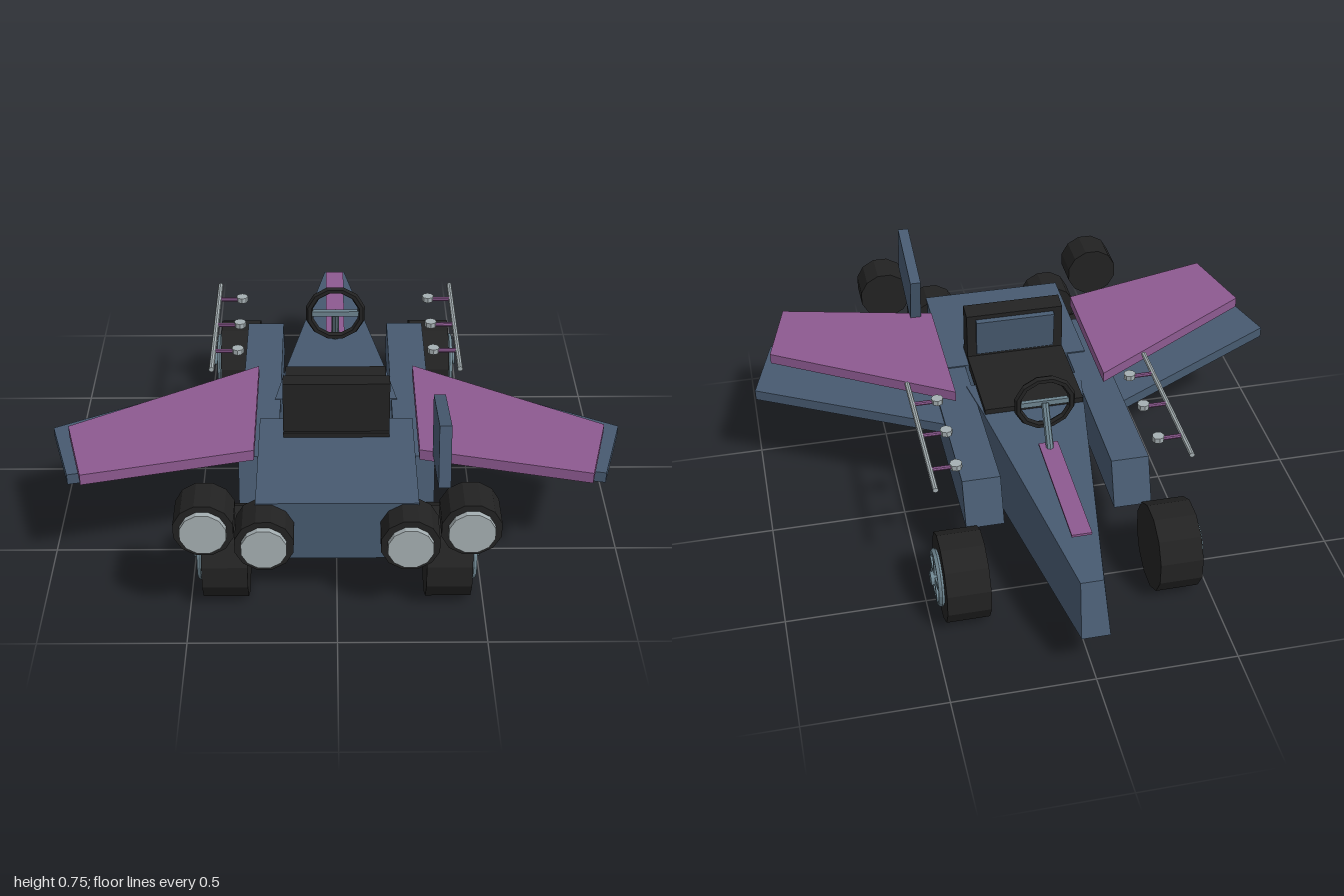
import * as THREE from 'three';
import { ConvexGeometry } from 'three/addons/geometries/ConvexGeometry.js';

const mat = (name, color) => {
  const m = new THREE.MeshStandardMaterial({ color, flatShading: true });
  m.name = name;
  return m;
};

export function createModel() {
  const blue = mat('slate blue', 0x475a70);
  const purple = mat('purple', 0x8d5a90);
  const black = mat('black', 0x222222);
  const grey = mat('light grey', 0xa5afb2);
  const steel = mat('steel', 0x6d848f);
  const model = new THREE.Group();

  const add = (name, geo, material, x = 0, y = 0, z = 0, parent = model) => {
    const mesh = new THREE.Mesh(geo, material);
    mesh.name = name;
    mesh.position.set(x, y, z);
    parent.add(mesh);
    return mesh;
  };
  const box = (name, material, x0, x1, y0, y1, z0, z1) =>
    add(name, new THREE.BoxGeometry(Math.abs(x1 - x0), y1 - y0, z1 - z0), material,
      (x0 + x1) / 2, (y0 + y1) / 2, (z0 + z1) / 2);
  const solid = (name, material, points) =>
    add(name, new ConvexGeometry(points.map(p => new THREE.Vector3(...p))), material);
  // Outline in (z, y) swept from x0 to x1
  const sideSolid = (name, material, x0, x1, outline) =>
    solid(name, material, outline.flatMap(([z, y]) => [[x0, y, z], [x1, y, z]]));
  // Outline in (x, z) swept from y0 to y1
  const slab = (name, material, y0, y1, outline) =>
    solid(name, material, outline.flatMap(([x, z]) => [[x, y0, z], [x, y1, z]]));
  // Twelve-sided cylinder with a flat on top, along z or x
  const drum = (r, len, axis) => {
    const g = new THREE.CylinderGeometry(r, r, len, 12).rotateY(Math.PI / 12);
    return axis === 'z' ? g.rotateX(Math.PI / 2) : g.rotateZ(Math.PI / 2);
  };
  // Rod between two points
  const rod = (name, material, a, b, r) => {
    const p = new THREE.Vector3(...a), q = new THREE.Vector3(...b);
    const d = q.clone().sub(p);
    const m = add(name, new THREE.CylinderGeometry(r, r, d.length(), 8), material,
      ...p.clone().add(q).multiplyScalar(0.5).toArray());
    m.quaternion.setFromUnitVectors(new THREE.Vector3(0, 1, 0), d.normalize());
  };

  // Tapered nose hull and rear body
  solid('noseHull', blue, [-1, 1].flatMap(s => [
    [s * 0.05, 0.18, -0.98], [s * 0.04, 0.365, -0.91], [s * 0.19, 0.43, -0.01],
    [s * 0.2, 0.43, 0.1], [s * 0.22, 0.43, 0.17], [s * 0.245, 0.18, 0.17]]));
  box('rearBody', blue, -0.27, 0.27, 0.205, 0.432, 0.3, 0.805);
  box('noseStripe', purple, -0.035, 0.035, 0.436, 0.445, -0.76, -0.25);

  // Seat
  box('seatBase', black, -0.185, 0.185, 0.41, 0.45, -0.02, 0.42);
  sideSolid('seatBack', black, -0.185, 0.185, [[0.41, 0.44], [0.33, 0.44], [0.33, 0.63], [0.4, 0.638]]);
  sideSolid('seatPad', blue, -0.15, 0.15, [[0.34, 0.46], [0.325, 0.46], [0.31, 0.61], [0.34, 0.615]]);

  // Steering wheel and column
  add('steeringWheel', new THREE.TorusGeometry(0.1, 0.014, 6, 12).rotateZ(Math.PI / 12), black, 0, 0.58, -0.19);
  box('steeringSpoke', steel, -0.09, 0.09, 0.57, 0.59, -0.198, -0.182);
  rod('steeringColumn', steel, [0, 0.58, -0.195], [0, 0.39, -0.31], 0.014);

  // Tail fin, on the left only
  sideSolid('tailFin', blue, 0.325, 0.365, [[0.825, 0.75], [0.53, 0.68], [0.58, 0.475], [0.875, 0.545]]);

  for (const s of [1, -1]) {
    // Side pods and the stacked wings
    sideSolid('sidePod', blue, s * 0.2, s * 0.337, [[-0.44, 0.26], [-0.38, 0.425], [0.53, 0.428], [0.57, 0.26]]);
    slab('lowerWing', blue, 0.375, 0.415,
      [[s * 0.25, -0.075], [s * 0.998, 0.33], [s * 0.915, 0.615], [s * 0.25, 0.465]]);
    slab('upperWing', purple, 0.456, 0.496,
      [[s * 0.28, 0.05], [s * 0.925, 0.44], [s * 0.85, 0.73], [s * 0.28, 0.59]]);

    // Exhausts
    for (const [x, y, z0, z1] of [[0.43, 0.443, 0.835, 0.965], [0.24, 0.33, 0.77, 0.9]]) {
      add('exhaust', drum(0.1, z1 - z0, 'z'), black, s * x, y, (z0 + z1) / 2);
      add('exhaustNozzle', drum(0.077, 0.04, 'z'), grey, s * x, y, z1);
    }

    // Side rails on brackets
    rod('sideRail', grey, [s * 0.45, 0.518, 0.11], [s * 0.45, 0.518, -0.52], 0.01);
    for (const z of [-0.405, -0.21, -0.02]) {
      rod('railBracket', purple, [s * 0.36, 0.518, z], [s * 0.45, 0.518, z], 0.008);
      add('railKnob', new THREE.CylinderGeometry(0.022, 0.022, 0.02, 8), grey, s * 0.36, 0.522, z);
    }

    // Wheels with five-spoke rims
    for (const z of [0.695, -0.555]) {
      const wheel = new THREE.Group();
      wheel.name = 'wheel';
      wheel.position.set(s * 0.377, 0.157, z);
      model.add(wheel);
      add('tyre', drum(0.16, 0.154, 'x'), black, 0, 0, 0, wheel);
      add('rim', new THREE.TorusGeometry(0.091, 0.013, 6, 16).rotateY(Math.PI / 2), steel, s * 0.085, 0, 0, wheel);
      add('hub', drum(0.025, 0.034, 'x'), steel, s * 0.094, 0, 0, wheel);
      for (let i = 0; i < 5; i++) {
        const spoke = new THREE.BoxGeometry(0.022, 0.085, 0.02).translate(0, 0.046, 0);
        add('spoke', spoke.rotateX(i * Math.PI * 0.4), steel, s * 0.087, 0, 0, wheel);
      }
    }
  }
  return model;
}
